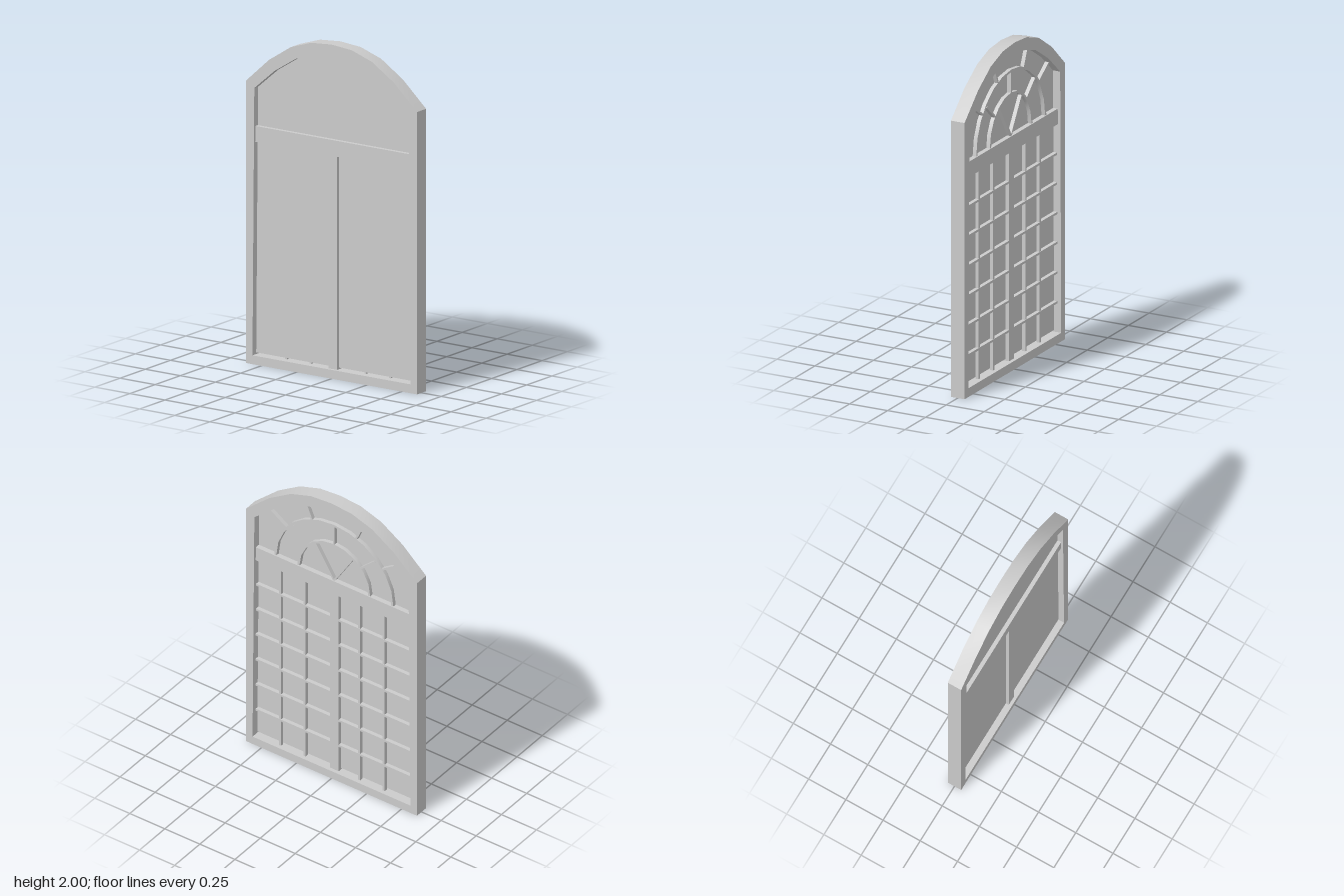
import * as THREE from 'three';
import { toCreasedNormals } from 'three/addons/utils/BufferGeometryUtils.js';

export function createModel() {
  const model = new THREE.Group();
  model.name = 'archedWindow';
  const material = new THREE.MeshStandardMaterial({ color: 0xcccccc });

  const add = (name, geometry, parent = model) => {
    const mesh = new THREE.Mesh(geometry, material);
    mesh.name = name;
    parent.add(mesh);
    return mesh;
  };
  const group = (name) => {
    const g = new THREE.Group();
    g.name = name;
    model.add(g);
    return g;
  };
  // Box given by its limits on each axis
  const box = (name, x0, x1, y0, y1, z0, z1, parent) =>
    add(name, new THREE.BoxGeometry(x1 - x0, y1 - y0, z1 - z0), parent)
      .position.set((x0 + x1) / 2, (y0 + y1) / 2, (z0 + z1) / 2);
  const extrude = (shape, z0, z1) => {
    const g = new THREE.ExtrudeGeometry(shape, { depth: z1 - z0, bevelEnabled: false });
    g.translate(0, 0, z0);
    return toCreasedNormals(g, 0.6);
  };
  // Symmetric outline: right half from the sill up to the crown, then mirrored
  const outline = (half) => [
    ...half, ...half.slice().reverse().filter(([x]) => x > 0).map(([x, y]) => [-x, y]),
  ].map(([x, y]) => new THREE.Vector2(x, y));

  const D = 0.045, BACK = -0.022, PANE = 0.002;
  const archOuter = [[0.61, 1.69], [0.445, 1.84], [0.29, 1.94], [0.145, 1.988], [0, 2]];
  const archInner = [[0.55, 1.655], [0.405, 1.78], [0.255, 1.875], [0.13, 1.915], [0, 1.928]];

  // Outer frame with a slightly tapered opening
  const frame = new THREE.Shape(outline([[0.61, 0], ...archOuter]));
  frame.holes.push(new THREE.Path(outline([[0.563, 0.053], ...archInner])));
  add('frame', extrude(frame, -D, D));

  // Thin pane, stopping just above the sill
  add('pane', extrude(new THREE.Shape(outline([[0.563, 0.063], ...archInner])), PANE, PANE + 0.006));

  // Crossbar and central mullion
  box('crossbar', -0.553, 0.553, 1.33, 1.425, -0.028, 0.032);
  box('mullion', -0.035, 0.027, 0.05, 1.33, BACK, 0.026);

  // Grid of glazing bars behind the lower panes
  const grid = group('glazingGrid');
  for (const x of [-0.355, -0.18, 0.21, 0.385])
    box('verticalBar', x - 0.007, x + 0.007, 0.05, 1.33, BACK + 0.002, PANE, grid);
  for (let i = 1; i < 7; i++) {
    const y = 1.33 - i * 0.182;
    box('horizontalBar', -0.557, -0.035, y - 0.007, y + 0.007, BACK, PANE, grid);
    box('horizontalBar', 0.027, 0.557, y - 0.007, y + 0.007, BACK, PANE, grid);
  }

  // Fan of glazing bars in the arch: two half rings and spokes
  const fan = group('fanlight');
  fan.position.y = 1.425;
  const arc = (rx, ry, n) => Array.from({ length: n + 1 }, (_, i) =>
    new THREE.Vector2(rx * Math.cos(Math.PI * i / n), ry * Math.sin(Math.PI * i / n)));
  const ring = (name, rx, ry, n) => {
    const w = 0.015;
    const shape = new THREE.Shape([...arc(rx, ry, n), ...arc(rx - w, ry - w, n).reverse()]);
    add(name, extrude(shape, BACK, PANE), fan);
  };
  ring('innerRing', 0.26, 0.265, 10);
  ring('outerRing', 0.425, 0.405, 12);

  const spoke = (degrees, r0, r1) => {
    const g = new THREE.BoxGeometry(r1 - r0, 0.012, PANE - BACK);
    g.translate((r0 + r1) / 2, 0, (PANE + BACK) / 2);
    add('spoke', g, fan).rotation.z = THREE.MathUtils.degToRad(degrees);
  };
  for (const a of [58, 122]) spoke(a, 0, 0.25);
  for (const a of [42, 90, 138]) spoke(a, 0.25, 0.395);
  for (const a of [34, 146]) spoke(a, 0.405, 0.565);
  for (const a of [67, 113]) spoke(a, 0.395, 0.515);

  return model;
}
